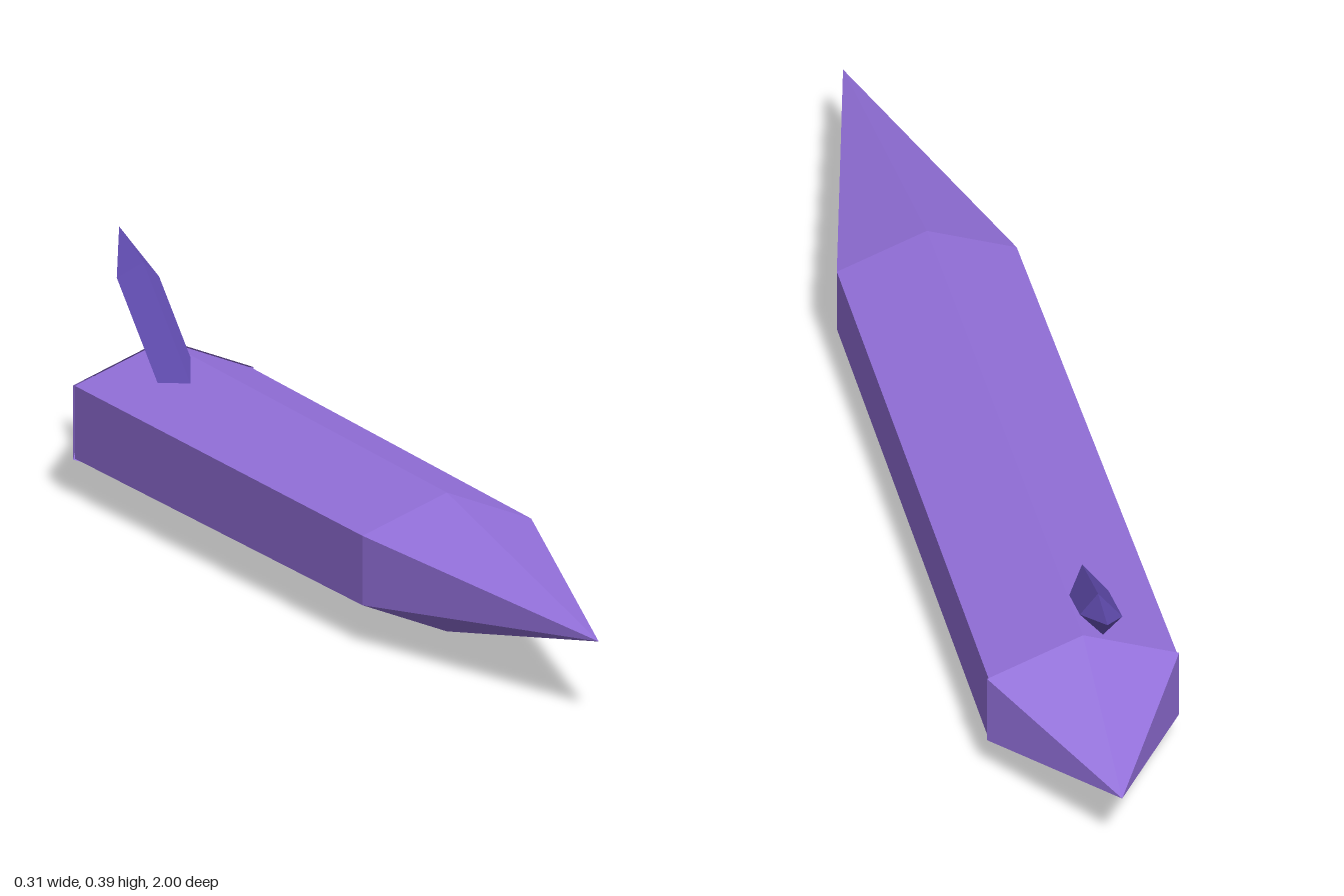
import * as THREE from 'three';

const violet = new THREE.MeshStandardMaterial({ color: 0x9370db, flatShading: true, side: THREE.DoubleSide });
violet.name = 'violet';
const deepViolet = new THREE.MeshStandardMaterial({ color: 0x6650b8, flatShading: true, side: THREE.DoubleSide });
deepViolet.name = 'deepViolet';

const CENTRE_Y = 0.122;
const SQUASH = 0.67; // hexagon is flattened vertically

// Six-sided open section running along z, with half-widths at each end
function hexSection(name, frontZ, frontHalf, backZ, backHalf) {
  const k = 1 / Math.cos(Math.PI / 6);
  const geo = new THREE.CylinderGeometry(frontHalf * k, backHalf * k, frontZ - backZ, 6, 1, true);
  geo.rotateX(Math.PI / 2);
  geo.scale(1, SQUASH, 1);
  geo.translate(0, CENTRE_Y, (frontZ + backZ) / 2);
  const mesh = new THREE.Mesh(geo, violet);
  mesh.name = name;
  return mesh;
}

// Small four-sided crystal leaning back out of the body
function sideCrystal() {
  const tip = [0, 0.39, -0.895];
  const shoulder = [
    [-0.046, 0.331, -0.8],
    [-0.013, 0.36, -0.77],
    [0.019, 0.331, -0.78],
    [-0.013, 0.304, -0.805],
  ];
  const toBase = [-0.043, -0.174, 0.332];
  const base = shoulder.map((p) => p.map((v, i) => v + toBase[i]));
  const pos = [];
  for (let i = 0; i < 4; i++) {
    const j = (i + 1) % 4;
    pos.push(...base[i], ...base[j], ...shoulder[j]);
    pos.push(...base[i], ...shoulder[j], ...shoulder[i]);
    pos.push(...shoulder[i], ...shoulder[j], ...tip);
  }
  const geo = new THREE.BufferGeometry();
  geo.setAttribute('position', new THREE.Float32BufferAttribute(pos, 3));
  geo.computeVertexNormals();
  const mesh = new THREE.Mesh(geo, deepViolet);
  mesh.name = 'sideCrystal';
  return mesh;
}

export function createModel() {
  const group = new THREE.Group();
  group.name = 'crystalShard';
  group.add(
    hexSection('frontPoint', 1, 0, 0.4, 0.147),
    hexSection('body', 0.4, 0.147, -0.72, 0.154),
    hexSection('backPoint', -0.72, 0.157, -1, 0),
    sideCrystal(),
  );
  return group;
}
